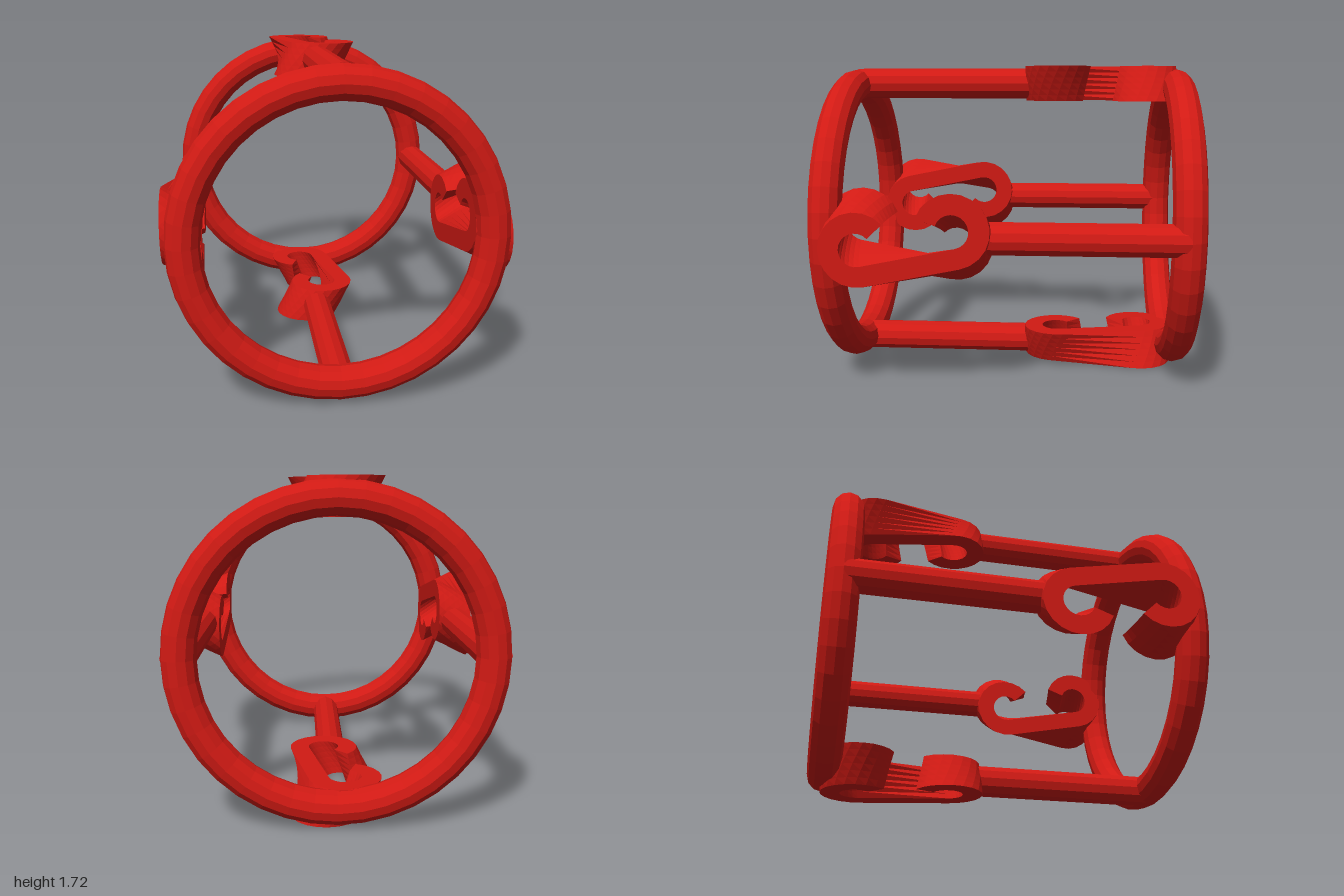
import * as THREE from 'three';

const RING_R = 0.758, TUBE_R = 0.087, RING_Z = 0.913, CENTRE_Y = 0.86;
const CLIP_OUT = 0.763, CLIP_DEPTH = 0.194, CLIP_MID = 0.495;
const deg = THREE.MathUtils.degToRad;

// Open link outline: one straight strand with a hook at each end
function clipShape() {
  const half = 0.245, R = 0.19, r = 0.085, tip = deg(58);
  const s = new THREE.Shape();
  s.absarc(0, half, R, -tip, Math.PI, false);
  s.absarc(0, -half, R, Math.PI, 2 * Math.PI + tip, false);
  s.absarc(0, -half, r, 2 * Math.PI + tip, Math.PI, true);
  s.absarc(0, half, r, Math.PI, -tip, true);
  s.closePath();
  return s;
}

// Extrude the link and twist it about its depth axis
function clipGeometry() {
  const geo = new THREE.ExtrudeGeometry(clipShape(), {
    depth: CLIP_DEPTH, steps: 6, curveSegments: 7, bevelEnabled: false,
  });
  geo.translate(0, 0, -CLIP_DEPTH / 2);
  const p = geo.attributes.position;
  const v = new THREE.Vector3(), axis = new THREE.Vector3(0, 0, 1);
  for (let i = 0; i < p.count; i++) {
    v.fromBufferAttribute(p, i);
    v.applyAxisAngle(axis, deg(11.5) * v.z / (CLIP_DEPTH / 2));
    p.setXYZ(i, v.x, v.y, v.z);
  }
  geo.computeVertexNormals();
  return geo;
}

export function createModel() {
  const model = new THREE.Group();
  model.name = 'clipFrame';
  const red = new THREE.MeshStandardMaterial({ color: 0xd11a14, flatShading: true });

  // Front and back rings
  const ringGeo = new THREE.TorusGeometry(RING_R, TUBE_R, 12, 40);
  for (const [name, z] of [['frontRing', RING_Z], ['backRing', -RING_Z]]) {
    const ring = new THREE.Mesh(ringGeo, red);
    ring.name = name;
    ring.position.set(0, CENTRE_Y, z);
    model.add(ring);
  }

  // Four arms: a rod from one ring, ending in a twisted clip around the other
  const clipGeo = clipGeometry();
  const rodEnd = 0.085;
  const rodGeo = new THREE.CylinderGeometry(0.085, 0.085, RING_Z + rodEnd, 12);
  const arms = [
    ['topArm', [0, 1, 0], -1],
    ['bottomArm', [0, -1, 0], -1],
    ['leftArm', [1, 0, 0], 1],
    ['rightArm', [-1, 0, 0], 1],
  ];
  for (const [name, outDir, farZ] of arms) {
    const out = new THREE.Vector3(...outDir);
    const far = new THREE.Vector3(0, 0, farZ);
    const open = new THREE.Vector3().crossVectors(far, out);
    const arm = new THREE.Group();
    arm.name = name;
    arm.quaternion.setFromRotationMatrix(new THREE.Matrix4().makeBasis(open, far, out));
    arm.position.y = CENTRE_Y;

    const rod = new THREE.Mesh(rodGeo, red);
    rod.name = 'rod';
    rod.position.set(0, (rodEnd - RING_Z) / 2, CLIP_OUT);
    const clip = new THREE.Mesh(clipGeo, red);
    clip.name = 'clip';
    clip.position.set(0, CLIP_MID, CLIP_OUT);
    arm.add(rod, clip);
    model.add(arm);
  }
  return model;
}
